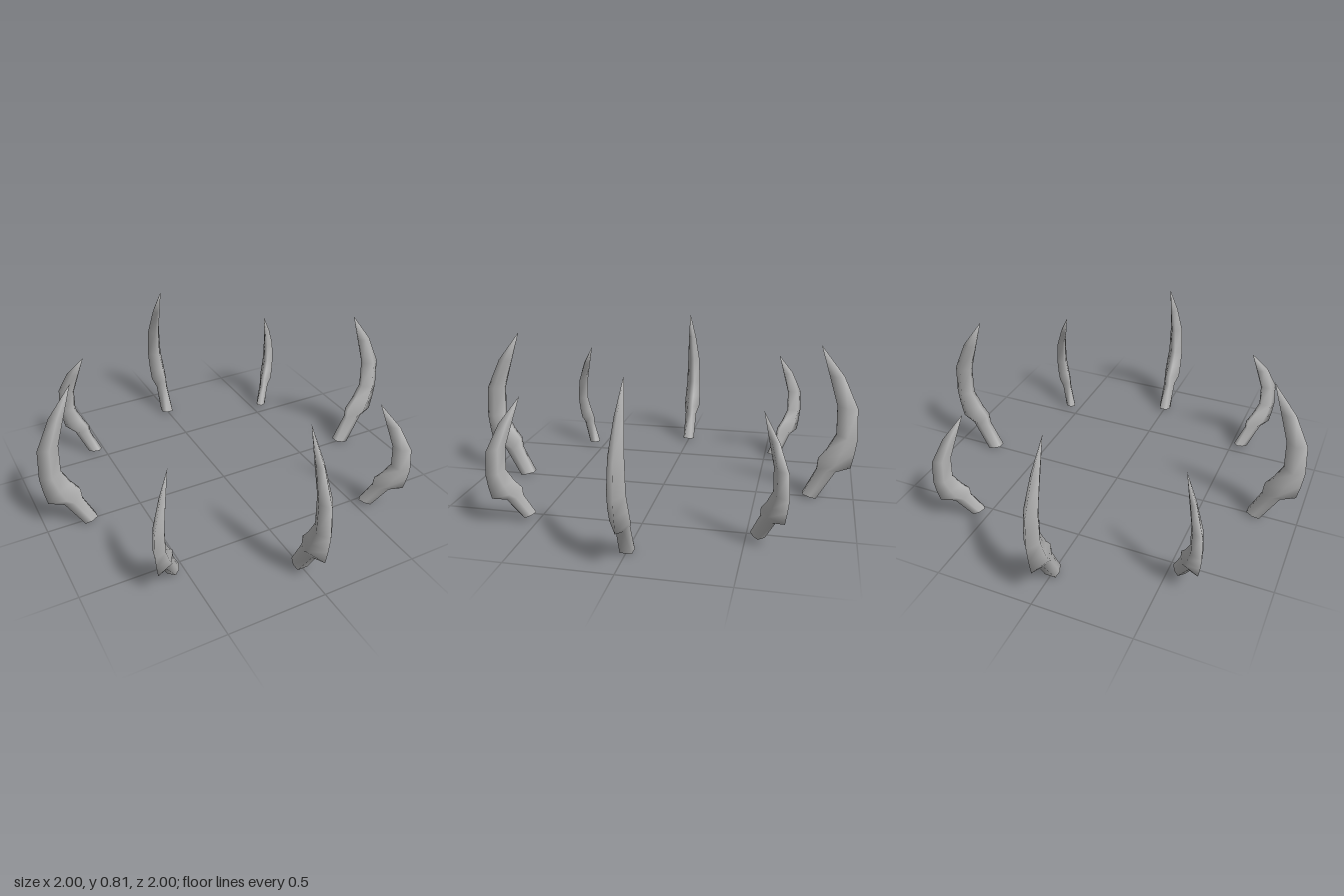
import * as THREE from 'three';
import { mergeVertices } from 'three/addons/utils/BufferGeometryUtils.js';

// Cross-sections from base to near the tip:
// outer radius, outer height, inner radius, inner height, half width, outer flatness, inner flatness
const SECTIONS = [
  [0.81, 0.00, 0.74, 0.017, 0.033, 0.85, 0.6],
  [0.90, 0.15, 0.805, 0.155, 0.034, 0.5, 0.4],
  [0.975, 0.172, 0.81, 0.21, 0.047, 0, 0.3],
  [0.99, 0.25, 0.85, 0.265, 0.046, 0, 0.3],
  [1.00, 0.33, 0.893, 0.35, 0.042, 0, 0.3],
  [0.99, 0.49, 0.888, 0.50, 0.036, 0, 0.3],
  [0.915, 0.65, 0.842, 0.65, 0.022, 0, 0.3],
];
const TIP = [0.793, 0.805];
const SIDES = 6;

// Curved hollow claw in the xy plane, its ridge facing +x, open at the base
function clawGeometry(mapR, mapY, widthScale) {
  const pos = [];
  const index = [];
  const add = (r, y, z) => pos.push(mapR(r), mapY(y), z * widthScale);

  for (const [ro, yo, ri, yi, w, fo, fi] of SECTIONS) {
    const rm = (ro + ri) / 2;
    const ym = (yo + yi) / 2;
    add(ro, yo, w * fo);
    add(rm, ym, w);
    add(ri, yi, w * fi);
    add(ri, yi, -w * fi);
    add(rm, ym, -w);
    add(ro, yo, -w * fo);
  }
  add(TIP[0], TIP[1], 0);

  // Side walls, closing at the tip
  const rings = SECTIONS.length;
  const tip = rings * SIDES;
  for (let i = 0; i < rings; i++) {
    for (let j = 0; j < SIDES; j++) {
      const a = i * SIDES + j;
      const b = i * SIDES + (j + 1) % SIDES;
      if (i === rings - 1) index.push(a, tip, b);
      else index.push(a, a + SIDES, b, b, a + SIDES, b + SIDES);
    }
  }

  // Joined ridge points give smooth shading all round
  const geometry = new THREE.BufferGeometry();
  geometry.setAttribute('position', new THREE.Float32BufferAttribute(pos, 3));
  geometry.setIndex(index);
  const smooth = mergeVertices(geometry);
  smooth.computeVertexNormals();
  return smooth;
}

export function createModel() {
  const group = new THREE.Group();
  group.name = 'clawRing';
  const grey = new THREE.MeshStandardMaterial({ color: 0xb8b8b8, side: THREE.DoubleSide });
  grey.name = 'grey';

  const large = clawGeometry((r) => r, (y) => y, 1);
  const small = clawGeometry((r) => 0.75 + (r - 0.74) * 0.9, (y) => 0.016 + y * 0.75, 0.75);

  // Large claws on the axes, small ones on the diagonals
  for (let i = 0; i < 8; i++) {
    const isLarge = i % 2 === 0;
    const claw = new THREE.Mesh(isLarge ? large : small, grey);
    claw.name = (isLarge ? 'largeClaw' : 'smallClaw') + (Math.floor(i / 2) + 1);
    claw.rotation.y = (i * Math.PI) / 4;
    group.add(claw);
  }
  return group;
}
